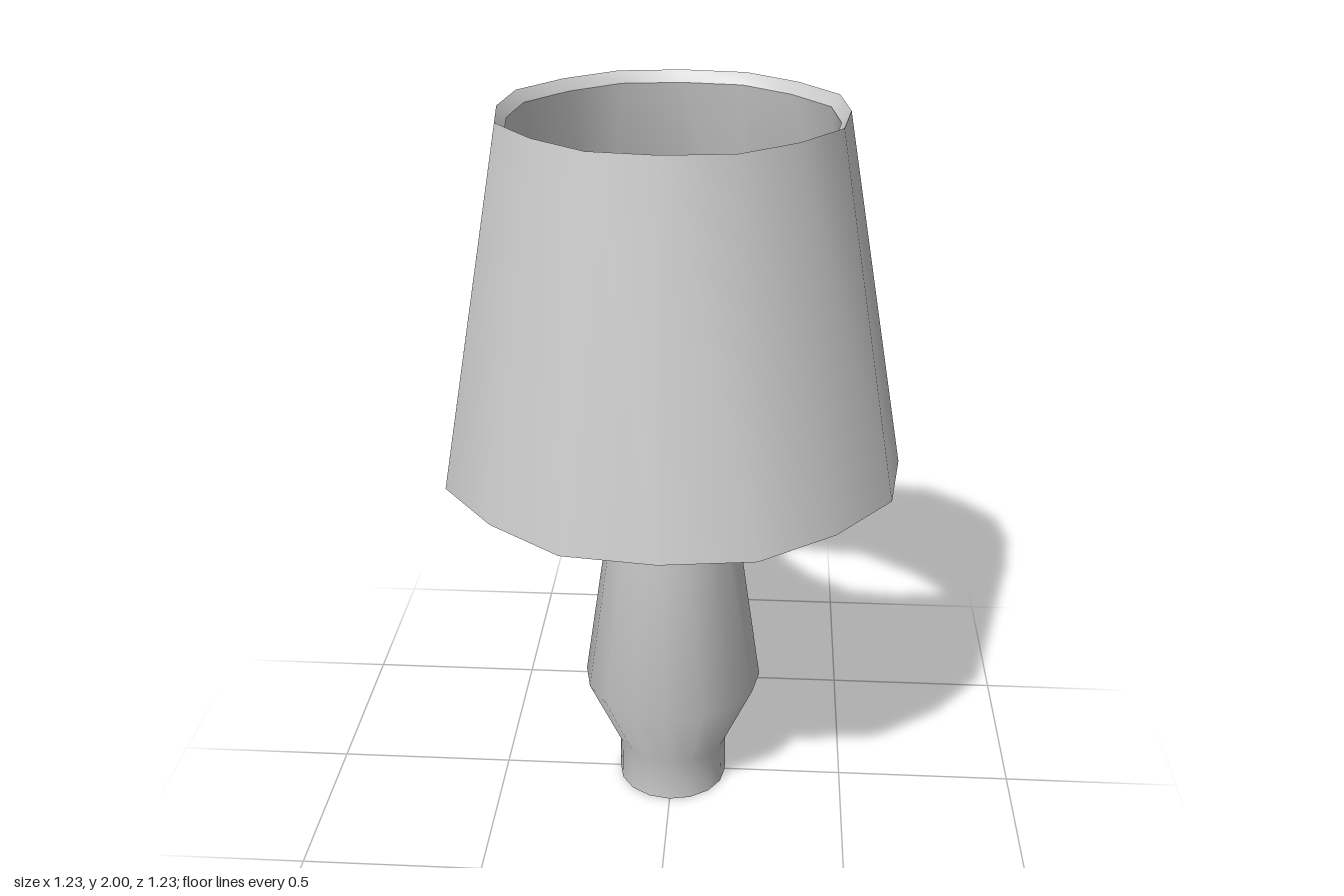
import * as THREE from 'three';
import { toCreasedNormals } from 'three/addons/utils/BufferGeometryUtils.js';

const SIDES = 16;

// Turns a [radius, height] profile into a 16-sided solid
function turned(profile) {
  const points = profile.map(([r, y]) => new THREE.Vector2(r, y));
  return new THREE.LatheGeometry(points, SIDES);
}

// Pushes every second corner slightly outwards, as on the hand-shaped shade
function bulgeOddCorners(geometry, factor) {
  const pos = geometry.attributes.position;
  for (let i = 0; i < pos.count; i++) {
    const x = pos.getX(i), z = pos.getZ(i);
    const corner = Math.round(Math.atan2(x, z) / (2 * Math.PI / SIDES));
    if (Math.abs(corner) % 2 === 1) {
      pos.setX(i, x * factor);
      pos.setZ(i, z * factor);
    }
  }
  return geometry;
}

export function createModel() {
  const group = new THREE.Group();
  const material = new THREE.MeshStandardMaterial({ color: 0xcccccc });

  const add = (name, geometry) => {
    const mesh = new THREE.Mesh(toCreasedNormals(geometry, 0.7), material);
    mesh.name = name;
    group.add(mesh);
  };

  // Vase-like base, closed at both ends
  add('lampBase', turned([
    [0, 0], [0.157, 0], [0.157, 0.13], [0.253, 0.345], [0.13, 1.19], [0, 1.19],
  ]));

  // Open tapered shade with thickness; the rims slope inwards
  add('lampShade', bulgeOddCorners(turned([
    [0.59, 1.07], [0.615, 1.045], [0.442, 2], [0.419, 1.97], [0.59, 1.07],
  ]), 1.027));

  return group;
}
